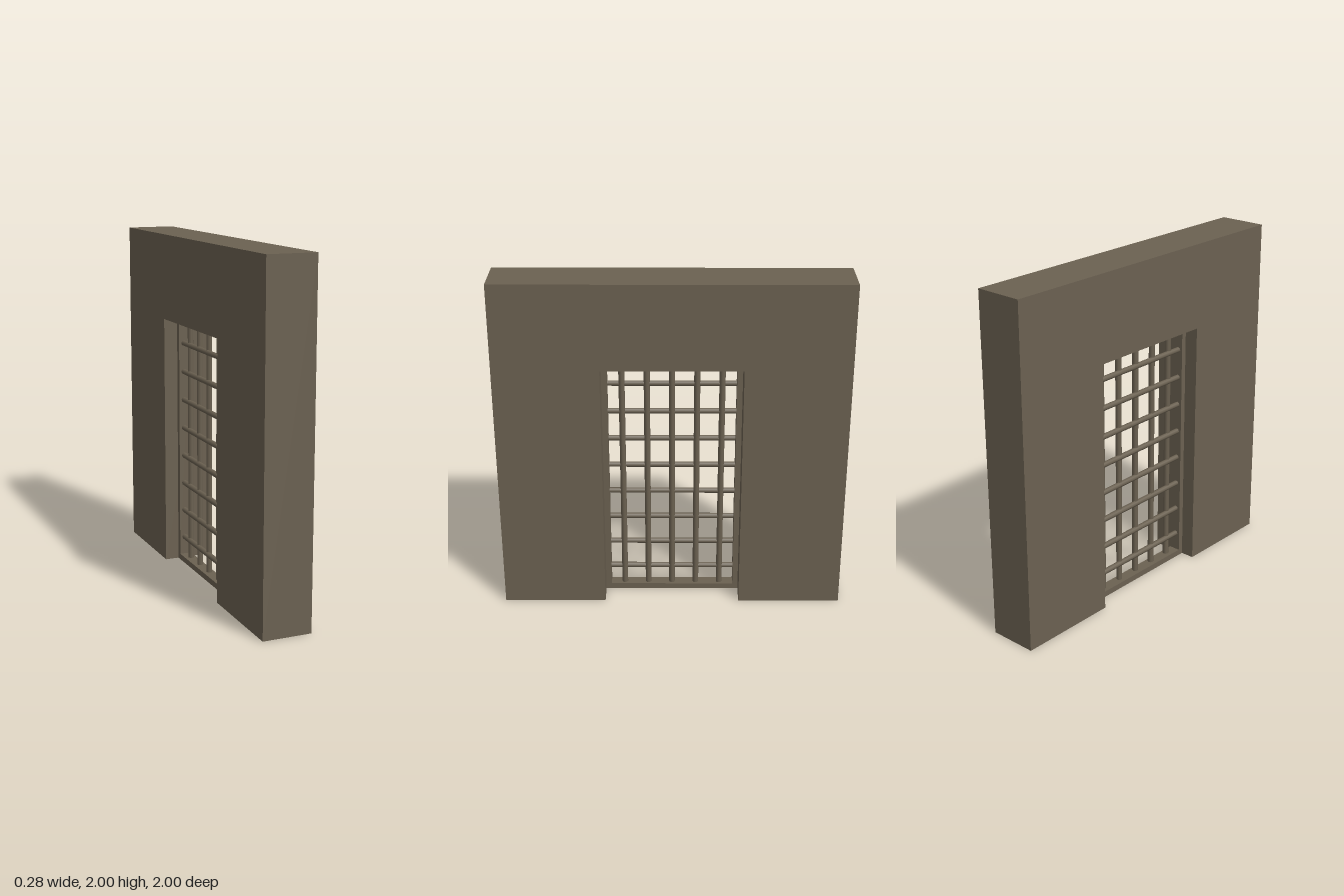
import * as THREE from 'three';

export function createModel() {
  const group = new THREE.Group();
  group.name = 'gatedWall';
  const stone = new THREE.MeshStandardMaterial({ color: 0x6b6151 });
  stone.name = 'brownStone';

  const add = (name, geometry, parent = group) => {
    const mesh = new THREE.Mesh(geometry, stone);
    mesh.name = name;
    parent.add(mesh);
    return mesh;
  };

  // Extrudes an outline drawn in the wall plane from x0 to x1
  const slab = (shape, x0, x1) =>
    new THREE.ExtrudeGeometry(shape, { depth: x1 - x0, bevelEnabled: false })
      .rotateY(Math.PI / 2)
      .translate(x0, 0, 0);

  const points = (list) => list.map(([a, b]) => new THREE.Vector2(a, b));

  // Wall with a doorway open at the floor
  const wallShape = new THREE.Shape(points([
    [-1, 0], [-0.4, 0], [-0.4, 1.5], [0.4, 1.5], [0.4, 0], [1, 0], [1, 2], [-1, 2],
  ]));
  add('wall', slab(wallShape, -0.142, 0.142));

  // Gate frame, recessed in the doorway
  const gate = new THREE.Group();
  gate.name = 'gate';
  group.add(gate);
  const frameShape = new THREE.Shape(points([[-0.4, 0], [0.4, 0], [0.4, 1.5], [-0.4, 1.5]]));
  frameShape.holes.push(new THREE.Path(points([
    [-0.368, 0.035], [-0.368, 1.467], [0.368, 1.467], [0.368, 0.035],
  ])));
  add('gateFrame', slab(frameShape, -0.06, 0.01), gate);

  // Upright bars
  const upright = new THREE.CylinderGeometry(0.0175, 0.0175, 1.45, 8);
  for (let i = -2; i <= 2; i++) {
    add('uprightBar', upright, gate).position.set(-0.02, 0.75, i * 0.143);
  }

  // Cross bars
  const cross = new THREE.CylinderGeometry(0.0165, 0.0165, 0.75, 8).rotateX(Math.PI / 2);
  for (let i = 0; i < 8; i++) {
    add('crossBar', cross, gate).position.set(-0.03, 0.145 + i * 0.1727, 0);
  }

  return group;
}
